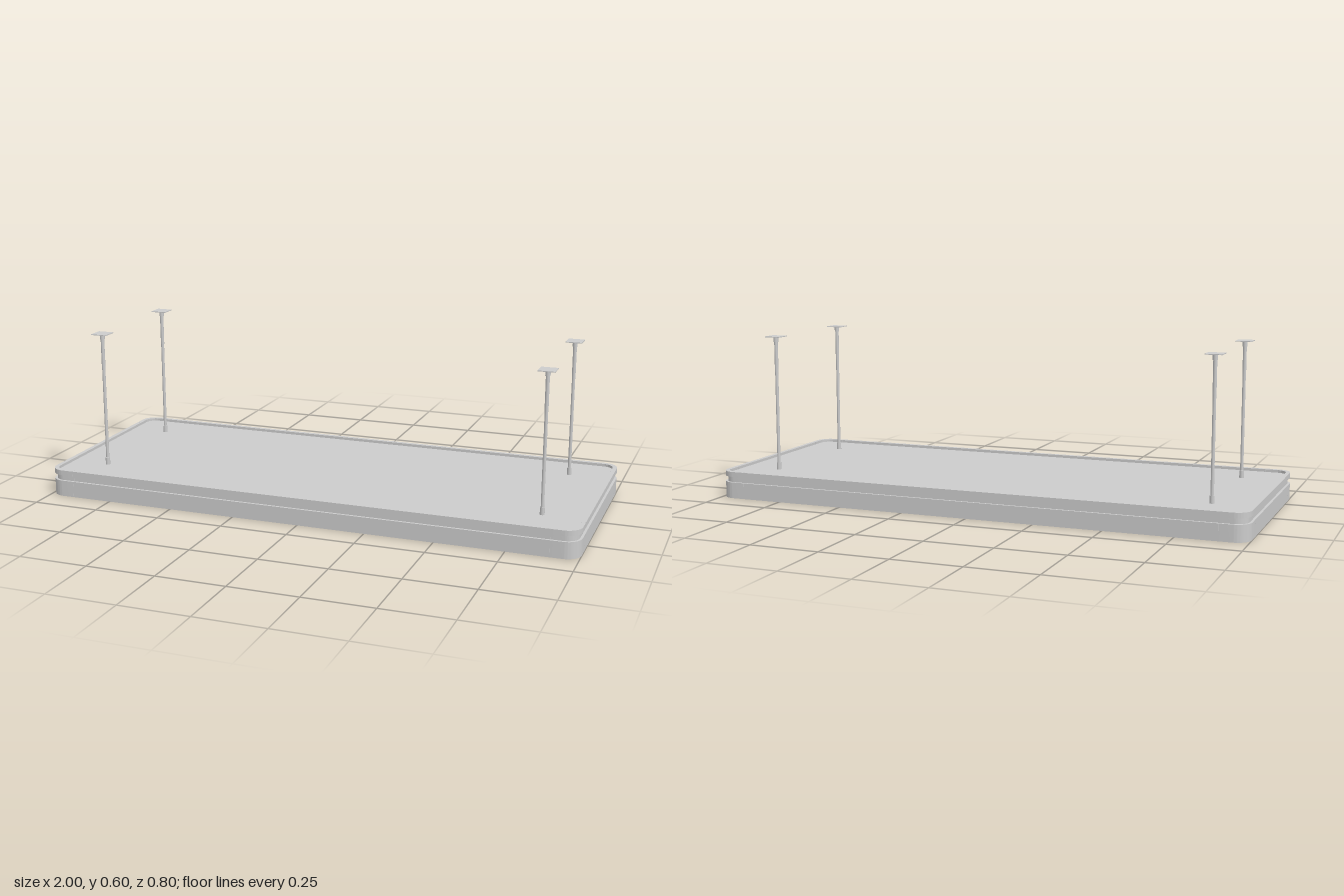
import * as THREE from 'three';
import { toCreasedNormals } from 'three/addons/utils/BufferGeometryUtils.js';

const HX = 1, HZ = 0.4, ARM = 0.1, RADIUS = 0.055, WALL = 0.016, GAP = 0.0006;

export function createModel() {
  const model = new THREE.Group();
  const material = new THREE.MeshStandardMaterial({ color: 0xcccccc });

  function add(parent, name, geometry, x = 0, y = 0, z = 0) {
    const mesh = new THREE.Mesh(geometry, material);
    mesh.name = name;
    mesh.position.set(x, y, z);
    parent.add(mesh);
    return mesh;
  }

  // Upright extrusion of a plan shape between two heights
  function slab(shape, y0, y1) {
    const g = new THREE.ExtrudeGeometry(shape, { depth: y1 - y0, bevelEnabled: false, curveSegments: 12 });
    g.rotateX(-Math.PI / 2);
    g.translate(0, y0, 0);
    return toCreasedNormals(g, 0.6);
  }

  // L-shaped corner plan with its outer corner near the origin and arms along -x and -y
  function cornerShape(inset) {
    const r = RADIUS - inset, inner = RADIUS - WALL, end = -ARM + GAP;
    const s = new THREE.Shape();
    s.moveTo(end, -inset);
    s.lineTo(end, -WALL);
    s.lineTo(-RADIUS, -WALL);
    s.absarc(-RADIUS, -RADIUS, inner, Math.PI / 2, 0, true);
    s.lineTo(-WALL, end);
    s.lineTo(-inset, end);
    s.lineTo(-inset, -RADIUS);
    s.absarc(-RADIUS, -RADIUS, r, 0, Math.PI / 2, false);
    s.closePath();
    return s;
  }

  // One frame layer: four straight rails and four rounded corners
  function frame(name, y0, y1, inset) {
    const group = new THREE.Group();
    group.name = name;
    const h = y1 - y0, w = WALL - inset, mid = (y0 + y1) / 2, off = (WALL + inset) / 2;
    for (const s of [-1, 1]) {
      add(group, 'longRail', new THREE.BoxGeometry(2 * (HX - ARM), h, w), 0, mid, s * (HZ - off));
      add(group, 'shortRail', new THREE.BoxGeometry(w, h, 2 * (HZ - ARM)), s * (HX - off), mid, 0);
    }
    const corner = slab(cornerShape(inset), y0, y1);
    [[1, -1], [-1, -1], [-1, 1], [1, 1]].forEach(([sx, sz], i) => {
      add(group, 'corner', corner, sx * HX, 0, sz * HZ).rotation.y = i * Math.PI / 2;
    });
    model.add(group);
  }

  frame('lowerFrame', 0, 0.06, 0);
  frame('grooveFrame', 0.06, 0.081, 0.009);
  frame('upperRim', 0.081, 0.1, 0);

  // Panels filling the frame, slightly recessed above and below
  const px = HX - WALL, pz = HZ - WALL, pr = RADIUS - WALL;
  const panel = new THREE.Shape();
  panel.moveTo(px, -pz + pr);
  panel.absarc(px - pr, pz - pr, pr, 0, Math.PI / 2);
  panel.absarc(-px + pr, pz - pr, pr, Math.PI / 2, Math.PI);
  panel.absarc(-px + pr, -pz + pr, pr, Math.PI, Math.PI * 1.5);
  panel.absarc(px - pr, -pz + pr, pr, Math.PI * 1.5, Math.PI * 2);
  add(model, 'topPanel', slab(panel, 0.08, 0.09));
  add(model, 'bottomPanel', slab(panel, 0.003, 0.012));

  // Suspension rods: name, radius, bottom, top
  const rodParts = [
    ['baseFitting', 0.0085, 0.09, 0.117],
    ['lowerRod', 0.006, 0.117, 0.462],
    ['upperRod', 0.0068, 0.462, 0.578],
    ['topFitting', 0.009, 0.578, 0.595],
    ['collar', 0.012, 0.595, 0.598],
  ];
  for (const x of [-0.84, 0.84]) for (const z of [-0.24, 0.24]) {
    const rod = new THREE.Group();
    rod.name = 'suspensionRod';
    rod.position.set(x, 0, z);
    for (const [name, r, y0, y1] of rodParts) {
      add(rod, name, new THREE.CylinderGeometry(r, r, y1 - y0, 24), 0, (y0 + y1) / 2, 0);
    }
    add(rod, 'ceilingPlate', new THREE.BoxGeometry(0.06, 0.003, 0.06), 0, 0.5985, 0);
    model.add(rod);
  }
  return model;
}
